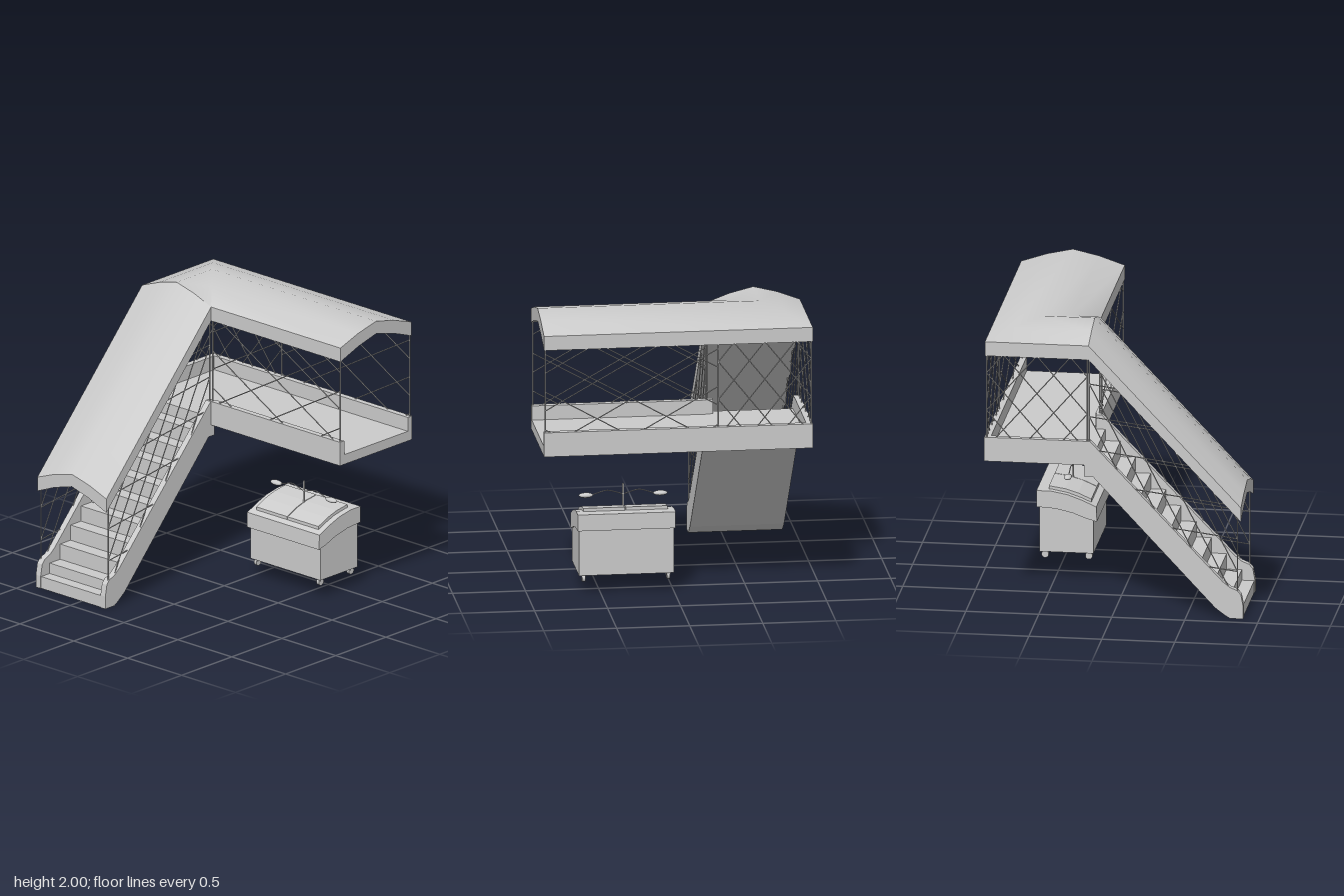
import * as THREE from 'three';
import { toCreasedNormals, mergeGeometries } from 'three/addons/utils/BufferGeometryUtils.js';

const grey = new THREE.MeshStandardMaterial({ color: 0xcccccc, side: THREE.DoubleSide });
const V = (x, y, z) => new THREE.Vector3(x, y, z);

function add(group, name, geometry) {
  const mesh = new THREE.Mesh(geometry, grey);
  mesh.name = name;
  group.add(mesh);
  return mesh;
}

// box given by its limits on each axis
function box(x0, x1, y0, y1, z0, z1) {
  return new THREE.BoxGeometry(x1 - x0, y1 - y0, z1 - z0)
    .translate((x0 + x1) / 2, (y0 + y1) / 2, (z0 + z1) / 2);
}

// side profile of [z, y] points, extruded from x0 to x1
function extrudeX(points, x0, x1) {
  const shape = new THREE.Shape(points.map(([z, y]) => new THREE.Vector2(-z, y)));
  return new THREE.ExtrudeGeometry(shape, { depth: x1 - x0, bevelEnabled: false })
    .rotateY(Math.PI / 2).translate(x0, 0, 0);
}

// thin rod between two points
function rod(a, b, radius = 0.004, sides = 5) {
  const dir = b.clone().sub(a);
  const turn = new THREE.Quaternion().setFromUnitVectors(V(0, 1, 0), dir.clone().normalize());
  const mid = a.clone().add(b).multiplyScalar(0.5);
  return new THREE.CylinderGeometry(radius, radius, dir.length(), sides)
    .applyQuaternion(turn).translate(mid.x, mid.y, mid.z);
}

// diamond wire net on a parallelogram: bottom edge a-b, raised by height
function wireNet(a, b, height, cols, rows, phase = 0) {
  const at = (u, v) => a.clone().lerp(b, u / cols).add(V(0, (height * v) / rows, 0));
  const parts = [rod(a, at(0, rows), 0.005), rod(b, at(cols, rows), 0.005)];
  for (let k = phase - Math.ceil(rows); k < cols; k++) {
    const v0 = Math.max(0, -k);
    const v1 = Math.min(rows, cols - k);
    if (v1 - v0 < 0.02) continue;
    parts.push(rod(at(k + v0, v0), at(k + v1, v1)));
    parts.push(rod(at(cols - k - v0, v0), at(cols - k - v1, v1)));
  }
  return mergeGeometries(parts);
}

// arched roof shell swept up the stair, mitred round the corner and along the bridge
function roofGeometry() {
  const us = [-1, -0.5, 0, 0.5, 1];
  const outer = [0, 0.06, 0.1, 0.06, 0];
  const inner = [-0.1, -0.035, 0.01, -0.035, -0.1];
  const ring = us.map((u, i) => [u, outer[i]])
    .concat(us.map((u, i) => [u, inner[i]]).reverse());
  const stations = [
    (u, d) => [-0.6 + 0.32 * u, 0.79 + d, 0.875],
    (u, d) => [-0.6 + 0.32 * u, 1.9 + d, -0.17],
    (u, d) => [-0.6 + 0.32 * u, 1.9 + d, -0.525 + 0.355 * u],
    (u, d) => [0.92, 1.9 + d, -0.525 + 0.355 * u],
  ];
  const n = ring.length;
  const positions = stations.flatMap((place) => ring.flatMap(([u, d]) => place(u, d)));
  const index = [];
  const quad = (a, b, c, d) => index.push(a, b, c, a, c, d);
  for (let s = 0; s < stations.length - 1; s++) {
    for (let i = 0; i < n; i++) {
      const j = (i + 1) % n;
      quad(s * n + i, s * n + j, (s + 1) * n + j, (s + 1) * n + i);
    }
  }
  const last = (stations.length - 1) * n;
  for (let i = 0; i < us.length - 1; i++) {
    quad(i, n - 1 - i, n - 2 - i, i + 1);
    quad(last + i, last + i + 1, last + n - 2 - i, last + n - 1 - i);
  }
  const geo = new THREE.BufferGeometry();
  geo.setAttribute('position', new THREE.Float32BufferAttribute(positions, 3));
  geo.setIndex(index);
  return toCreasedNormals(geo, 0.6);
}

function createStair() {
  const stair = new THREE.Group();
  stair.name = 'stair';
  const underside = [[-0.2, 0.97], [-0.14, 0.97], [0.7, 0.07], [0.76, 0.025], [0.8, 0]];

  // solid flight of steps
  const steps = [...underside, [0.885, 0], [0.885, 0.085]];
  let y = 0.085;
  for (let k = 0; k < 10; k++) {
    const z = 0.8 - 0.104 * k;
    steps.push([z, y]);
    y = Math.min(0.16 + 0.11 * k, 1.12);
    steps.push([z, y]);
  }
  steps.push([-0.2, 1.12]);
  add(stair, 'steps', extrudeX(steps, -0.876, -0.319));

  // side walls and the nets above them
  const wall = [...underside, [0.89, 0], [0.89, 0.09], [0.875, 0.17], [0.85, 0.2],
    [0.8, 0.22], [0.75, 0.26], [-0.16, 1.22], [-0.2, 1.22]];
  for (const [side, x0, netX] of [['right', -0.92, -0.91], ['left', -0.32, -0.287]]) {
    add(stair, side + 'StairWall', extrudeX(wall, x0, x0 + 0.045));
    add(stair, side + 'StairNet',
      wireNet(V(netX, 0.16, 0.85), V(netX, 1.22, -0.165), 0.58, 4, 2.5, 0.25));
  }
  return stair;
}

function createBridge() {
  const bridge = new THREE.Group();
  bridge.name = 'bridge';
  add(bridge, 'floor', box(-0.92, 0.92, 1.05, 1.12, -0.885, -0.165));
  add(bridge, 'backWall', box(-0.92, 0.92, 1.05, 1.22, -0.885, -0.842));
  add(bridge, 'frontWall', box(-0.275, 0.92, 1.05, 1.22, -0.208, -0.165));
  add(bridge, 'endWall', box(-0.92, -0.877, 1.05, 1.22, -0.885, -0.165));

  const y = 1.21, h = 0.6;
  add(bridge, 'frontNet', wireNet(V(-0.275, y, -0.18), V(0.91, y, -0.18), h, 2.5, 2.25, 0.1));
  add(bridge, 'backNet', wireNet(V(-0.275, y, -0.87), V(0.91, y, -0.87), h, 2.5, 2.25, 0.4));
  add(bridge, 'backCornerNet', wireNet(V(-0.91, y, -0.87), V(-0.275, y, -0.87), h, 3, 2.25, 0.25));
  add(bridge, 'endNet', wireNet(V(-0.91, y, -0.18), V(-0.91, y, -0.87), h, 3, 2.25, 0.25));
  return bridge;
}

function createCart() {
  const cart = new THREE.Group();
  cart.name = 'cart';
  const cx = 0.325, cz = -0.445;
  add(cart, 'body', box(0, 0.65, 0.13, 0.45, -0.63, -0.26));

  // sloping curved counter with two raised lids
  const counter = [[-0.235, 0.36], [-0.31, 0.38], [-0.4, 0.415], [-0.52, 0.442], [-0.65, 0.45],
    [-0.65, 0.565], [-0.55, 0.565], [-0.44, 0.545], [-0.34, 0.51], [-0.24, 0.465]];
  add(cart, 'counter', extrudeX(counter, -0.01, 0.66));
  const lid = [[-0.28, 0.475], [-0.37, 0.515], [-0.46, 0.54], [-0.57, 0.555],
    [-0.57, 0.588], [-0.46, 0.572], [-0.37, 0.545], [-0.28, 0.505]];
  add(cart, 'leftLid', extrudeX(lid, cx + 0.003, 0.613));
  add(cart, 'rightLid', extrudeX(lid, 0.037, cx - 0.003));

  // lamp post with two arms
  add(cart, 'lampPost', rod(V(cx, 0.48, cz), V(cx, 0.72, cz), 0.007, 10));
  for (const s of [-1, 1]) {
    const arm = new THREE.CatmullRomCurve3([[0, 0.645], [0.05, 0.662], [0.11, 0.675],
      [0.17, 0.66], [0.215, 0.645]].map(([x, y]) => V(cx + s * x, y, cz)));
    add(cart, 'lampArm', new THREE.TubeGeometry(arm, 20, 0.0035, 6));
    add(cart, 'lamp', new THREE.SphereGeometry(1, 16, 10)
      .scale(0.05, 0.017, 0.026).translate(cx + s * 0.255, 0.645, cz));
    // wheels and their forks
    for (const z of [-0.295, -0.595]) {
      const x = cx + s * 0.29;
      add(cart, 'wheel', new THREE.CylinderGeometry(0.025, 0.025, 0.022, 16)
        .rotateZ(Math.PI / 2).translate(x, 0.105, z));
      add(cart, 'wheelFork', box(x - 0.013, x + 0.013, 0.11, 0.135, z - 0.012, z + 0.012));
    }
  }
  add(cart, 'centreFoot', new THREE.CylinderGeometry(0.011, 0.022, 0.055, 12)
    .translate(cx, 0.108, cz));
  return cart;
}

export function createModel() {
  const model = new THREE.Group();
  model.name = 'coveredFootbridge';
  add(model, 'roof', roofGeometry());
  model.add(createStair(), createBridge(), createCart());
  return model;
}
